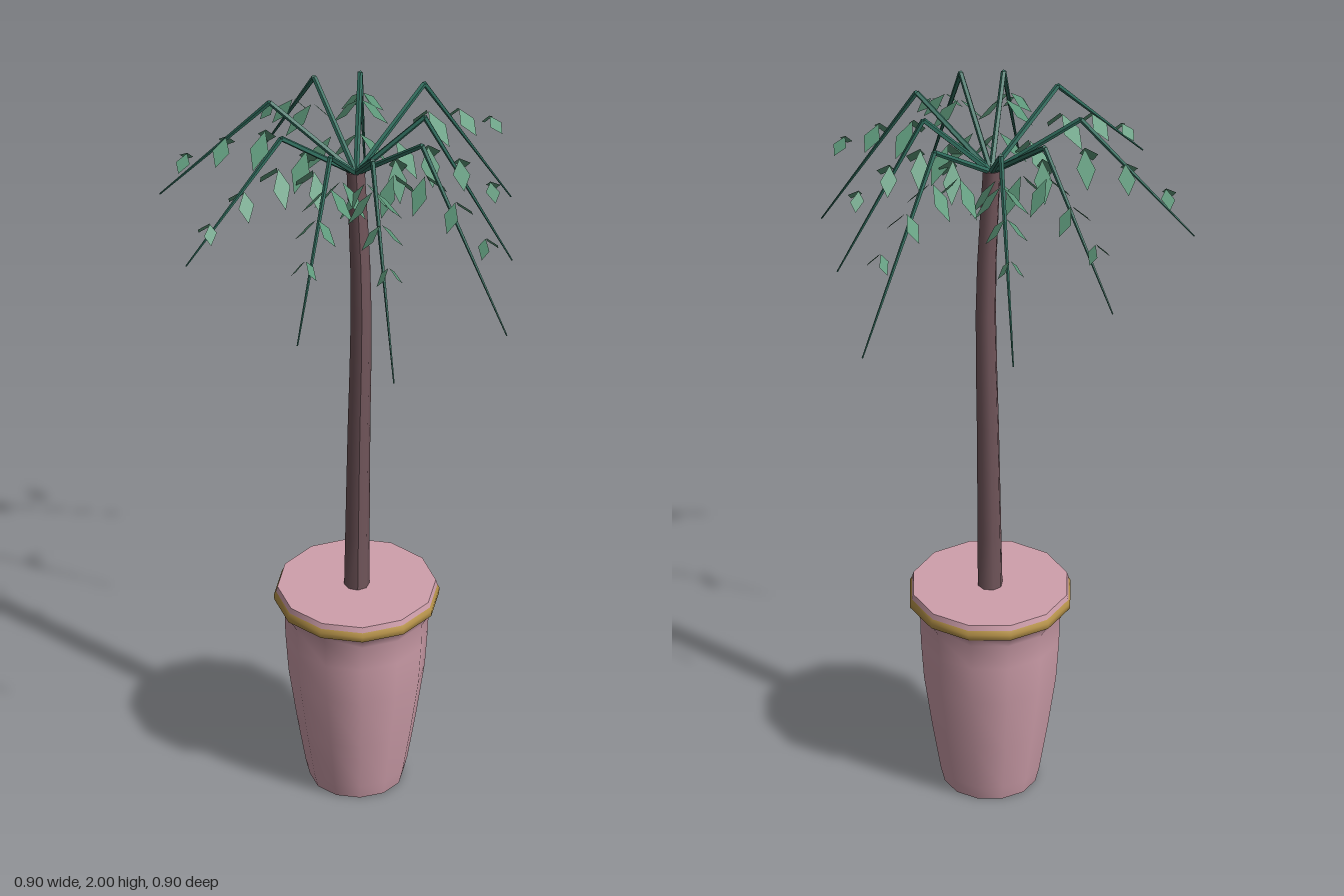
import * as THREE from 'three';
import { mergeGeometries } from 'three/addons/utils/BufferGeometryUtils.js';

const CX = 0.035, CZ = -0.005;
const mat = (name, color, side = THREE.FrontSide, flatShading = false) => {
  const m = new THREE.MeshStandardMaterial({ color, side, flatShading });
  m.name = name;
  return m;
};

// tapered stick between two points
function stick(a, b, r0, r1) {
  const d = b.clone().sub(a);
  const g = new THREE.CylinderGeometry(r1, r0, d.length(), 5);
  g.applyQuaternion(new THREE.Quaternion().setFromUnitVectors(
    new THREE.Vector3(0, 1, 0), d.normalize()));
  const c = a.clone().add(b).multiplyScalar(0.5);
  return g.translate(c.x, c.y, c.z);
}

export function createModel() {
  const group = new THREE.Group();
  const pink = mat('potPink', 0xcf9fab);
  const gold = mat('rimGold', 0xb8944a);
  const bark = mat('barkBrown', 0x70555a);
  const stem = mat('stemGreen', 0x2f6b5c, THREE.FrontSide, true);
  const leaf = mat('leafGreen', 0x5f9a7c, THREE.DoubleSide);
  const add = (name, geometry, material) => {
    const m = new THREE.Mesh(geometry, material);
    m.name = name;
    group.add(m);
    return m;
  };
  const lathe = pts => new THREE.LatheGeometry(pts.map(p => new THREE.Vector2(...p)), 12)
    .translate(CX, 0, CZ);

  // twelve-sided pot: wall, gold band, upper lip, flat base and top
  add('potWall', lathe([[0.118, 0], [0.128, 0.04], [0.15, 0.17], [0.172, 0.32],
    [0.18, 0.43], [0.182, 0.5], [0.2, 0.53]]), pink);
  add('goldBand', lathe([[0.198, 0.528], [0.208, 0.535], [0.209, 0.55], [0.204, 0.56]]), gold);
  add('potLip', lathe([[0.204, 0.56], [0.2, 0.574]]), pink);
  const disc = r => new THREE.CircleGeometry(r, 12);
  add('potTop', disc(0.2).rotateX(-Math.PI / 2).translate(CX, 0.574, CZ), pink);
  add('potBase', disc(0.118).rotateX(Math.PI / 2).translate(CX, 0, CZ), pink);

  // gently bent trunk
  const axis = new THREE.CatmullRomCurve3([
    new THREE.Vector3(0.035, 0.56, -0.005), new THREE.Vector3(0.04, 1.0, -0.004),
    new THREE.Vector3(0.046, 1.45, -0.005), new THREE.Vector3(0.033, 1.83, -0.013)]);
  const trunk = new THREE.CylinderGeometry(0.023, 0.032, 1, 8, 8);
  const pos = trunk.attributes.position;
  for (let i = 0; i < pos.count; i++) {
    const c = axis.getPoint(pos.getY(i) + 0.5);
    pos.setXYZ(i, pos.getX(i) + c.x, c.y, pos.getZ(i) + c.z);
  }
  trunk.computeVertexNormals();
  add('trunk', trunk, bark);

  // frond tips: x, y, z
  const tips = [[0.09, 1.52, -0.448], [0.448, 1.52, -0.315], [0.425, 1.56, 0.025],
    [0.39, 1.53, 0.315], [0.095, 1.49, 0.448], [-0.145, 1.58, 0.395],
    [-0.41, 1.69, 0.18], [-0.448, 1.66, -0.19], [-0.175, 1.62, -0.425]];
  // leaf pairs: fraction along frond, height, reach, drop, half width
  const rows = [[0.25, 1.87, 0.07, 0.095, 0.024], [0.46, 1.91, 0.07, 0.085, 0.024],
    [0.66, 1.87, 0.054, 0.065, 0.022], [0.86, 1.8, 0.034, 0.045, 0.018]];

  const hub = new THREE.Vector3(0.034, 1.82, -0.012);
  const up = new THREE.Vector3(0, 1, 0);
  const stems = [], verts = [];
  for (const t of tips) {
    const tip = new THREE.Vector3(...t);
    const peak = hub.clone().lerp(tip, 0.44).setY(1.994);
    stems.push(stick(hub, peak, 0.008, 0.007), stick(peak, tip, 0.007, 0.002));

    const out = tip.clone().sub(hub).setY(0).normalize();
    for (const [f, y, reach, drop, w] of rows) {
      const a = hub.clone().lerp(tip, f).setY(y);
      for (const s of [1, -1]) {
        const side = new THREE.Vector3().crossVectors(up, out).multiplyScalar(s);
        const at = (u, v) => a.clone().addScaledVector(side, reach * u)
          .addScaledVector(out, v + 0.014 * u).addScaledVector(up, -drop * u);
        const q = [at(0.04, 0), at(0.5, s * w), at(1, 0), at(0.5, -s * w)];
        for (const k of [0, 2, 1, 0, 3, 2]) verts.push(...q[k].toArray());
      }
    }
  }
  add('frondStems', mergeGeometries(stems), stem);
  const leaves = new THREE.BufferGeometry();
  // wind every leaf so that its upper side faces outward
  for (let i = 0; i < verts.length; i += 9) {
    const [ax, , az, bx, , bz, cx, , cz] = verts.slice(i, i + 9);
    const ny = (bz - az) * (cx - ax) - (bx - ax) * (cz - az);
    if (ny < 0) for (let k = 3; k < 6; k++)
      [verts[i + k], verts[i + k + 3]] = [verts[i + k + 3], verts[i + k]];
  }
  leaves.setAttribute('position', new THREE.Float32BufferAttribute(verts, 3));
  leaves.computeVertexNormals();
  add('leaves', leaves, leaf);
  return group;
}
